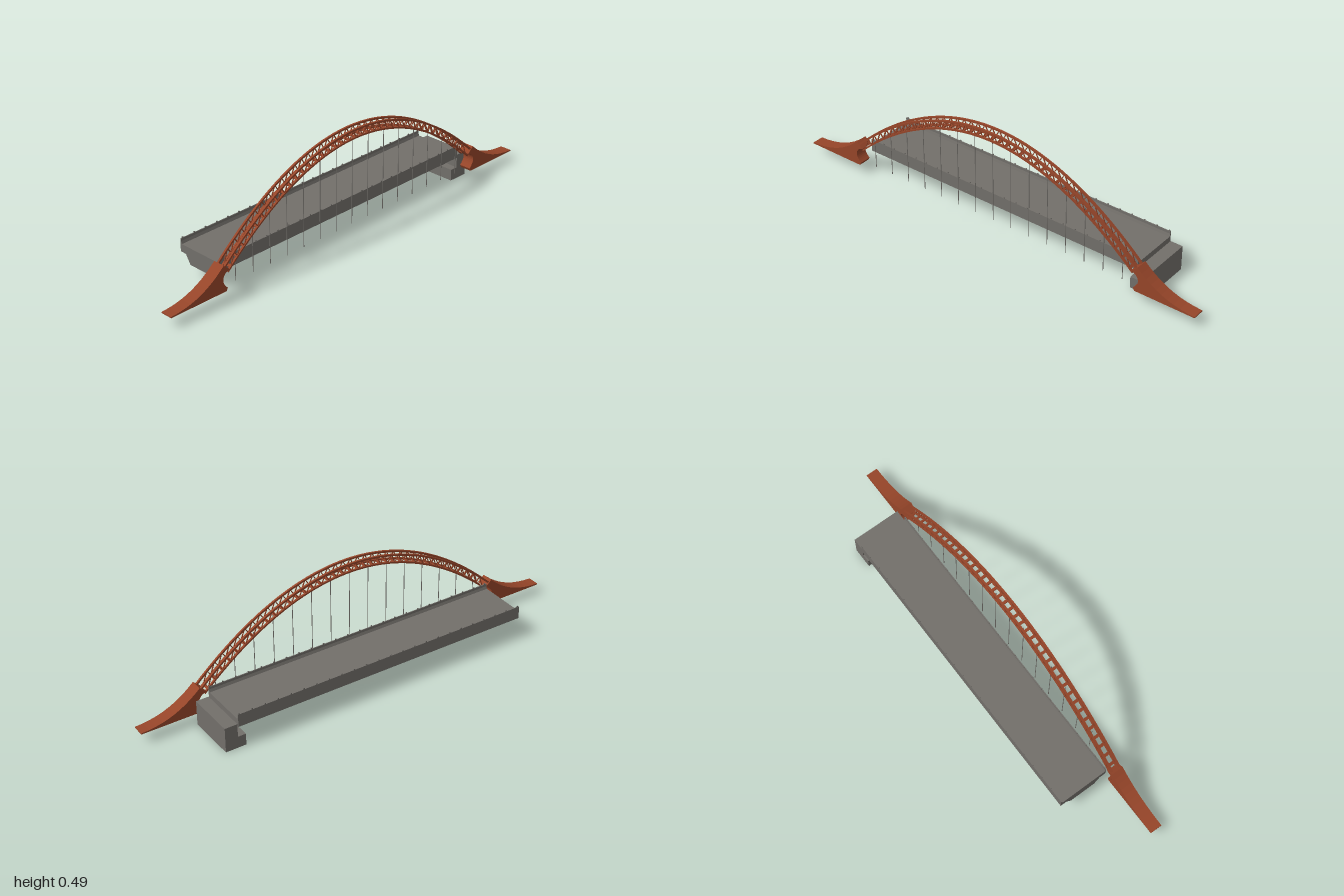
import * as THREE from 'three';

const rust = new THREE.MeshStandardMaterial({ color: 0x964529 });
rust.name = 'rust red steel';
const grey = new THREE.MeshStandardMaterial({ color: 0x726f6a });
grey.name = 'concrete grey';

const ARCH_Z = 0.118;              // centre plane of the arch
const TRUSS_Z = [0.1, 0.137];      // the two trusses
const PANELS = 38;
const outerY = x => 0.487 - 0.334 * (x / 0.72) ** 2;
const innerY = x => 0.452 - 0.312 * (x / 0.69) ** 2;

function add(parent, name, geometry, material) {
  const mesh = new THREE.Mesh(geometry, material);
  mesh.name = name;
  parent.add(mesh);
  return mesh;
}

function shapeOf(points) {
  return new THREE.Shape(points.map(p => new THREE.Vector2(p[0], p[1])));
}

// Side profile in x and y, extruded from z0 to z1
function plate(shape, z0, z1) {
  return new THREE.ExtrudeGeometry(shape, { depth: z1 - z0, bevelEnabled: false, curveSegments: 10 }).translate(0, 0, z0);
}

// Cross-section given as (z, y), extruded along x
function alongX(points, x0, x1) {
  const shape = shapeOf(points.map(([z, y]) => [-z, y]));
  return new THREE.ExtrudeGeometry(shape, { depth: x1 - x0, bevelEnabled: false })
    .rotateY(Math.PI / 2).translate(x0, 0, 0);
}

// Closed band of even thickness following a curve
function chord(curve, half, thick, z) {
  const top = [], bottom = [];
  for (let i = 0; i <= 48; i++) {
    const x = half * (i / 24 - 1);
    const slope = (curve(x + 0.001) - curve(x - 0.001)) / 0.002;
    const t = thick / 2 * Math.hypot(1, slope);
    top.push([x, curve(x) + t]);
    bottom.unshift([x, curve(x) - t]);
  }
  return plate(shapeOf([...top, ...bottom]), z - 0.0045, z + 0.0045);
}

// Straight square bar between two points in a plane of constant z
function bar(parent, name, x0, y0, x1, y1, z, size) {
  const mesh = add(parent, name, new THREE.BoxGeometry(Math.hypot(x1 - x0, y1 - y0), size, size), rust);
  mesh.position.set((x0 + x1) / 2, (y0 + y1) / 2, z);
  mesh.rotation.z = Math.atan2(y1 - y0, x1 - x0);
}

function buildArch() {
  const arch = new THREE.Group();
  arch.name = 'arch';
  const step = 1.38 / PANELS;
  for (const z of TRUSS_Z) {
    add(arch, 'upperChord', chord(outerY, 0.73, 0.008, z), rust);
    add(arch, 'lowerChord', chord(innerY, 0.705, 0.007, z), rust);
    // zigzag lattice between the chords
    for (let i = 0; i < PANELS; i++) {
      const x0 = -0.69 + i * step, xm = x0 + step / 2, x1 = x0 + step;
      bar(arch, 'lattice', x0, innerY(x0), xm, outerY(xm), z, 0.0035);
      bar(arch, 'lattice', xm, outerY(xm), x1, innerY(x1), z, 0.0035);
    }
  }
  // cross bars tying the lower chords together
  for (let i = 0; i <= PANELS; i++) {
    const x = -0.69 + i * step;
    const rung = add(arch, 'crossBar', new THREE.BoxGeometry(0.012, 0.005, 0.037), rust);
    rung.position.set(x, innerY(x), ARCH_Z);
    rung.rotation.z = Math.atan((innerY(x + 0.001) - innerY(x - 0.001)) / 0.002);
  }
  return arch;
}

// Flared foot with a swept top and a hollowed inner end
function footGeometry(side) {
  const s = new THREE.Shape();
  s.moveTo(-side, 0.048);
  s.lineTo(-side * 0.722, 0.047);
  s.lineTo(-side * 0.715, 0.06);
  s.quadraticCurveTo(-side * 0.755, 0.098, -side * 0.722, 0.128);
  s.lineTo(-side * 0.702, 0.136);
  s.lineTo(-side * 0.732, 0.163);
  s.bezierCurveTo(-side * 0.8, 0.1, -side * 0.88, 0.056, -side, 0.053);
  return plate(s, 0.091, 0.145);
}

function buildDeck() {
  const deck = new THREE.Group();
  deck.name = 'deck';
  const mid = -0.028;
  // slab with raised edge beams, overhanging a tapered box girder
  const half = [[0.06, 0.06], [0.085, 0.1], [0.115, 0.1], [0.115, 0.158], [0.111, 0.158], [0.111, 0.147], [0.107, 0.135]];
  const section = [
    ...half.map(([z, y]) => [mid + z, y]),
    ...half.slice().reverse().map(([z, y]) => [mid - z, y]),
  ];
  add(deck, 'roadwayGirder', alongX(section, -0.7, 0.695), grey);
  // small posts along both parapets
  for (const side of [-1, 1]) {
    for (let i = 0; i < 24; i++) {
      const post = add(deck, 'parapetPost', new THREE.BoxGeometry(0.006, 0.006, 0.003), grey);
      post.position.set(-0.69 + i * 0.06, 0.16, mid + side * 0.113);
    }
  }
  return deck;
}

function buildAbutment() {
  const group = new THREE.Group();
  group.name = 'abutment';
  const profile = [[0.662, 0], [0.755, 0], [0.755, 0.113], [0.698, 0.113], [0.698, 0.052], [0.662, 0.052]];
  add(group, 'abutmentBlock', plate(shapeOf(profile), -0.14, 0.085), grey);
  // bearings under the girder
  for (let i = 0; i < 5; i++) {
    add(group, 'bearing', new THREE.BoxGeometry(0.02, 0.01, 0.012), grey)
      .position.set(0.68, 0.056, -0.076 + i * 0.024);
  }
  return group;
}

export function createModel() {
  const model = new THREE.Group();
  model.name = 'archBridge';
  model.add(buildArch(), buildDeck(), buildAbutment());
  for (const side of [-1, 1]) add(model, 'archFoot', footGeometry(side), rust);

  // hanger cables
  for (let i = -7; i <= 7; i++) {
    const x = i * 0.0925 - 0.002;
    const top = innerY(x), base = 0.053;
    add(model, 'hanger', new THREE.CylinderGeometry(0.0015, 0.0015, top - base, 6), grey)
      .position.set(x, (top + base) / 2, ARCH_Z);
  }
  return model;
}
